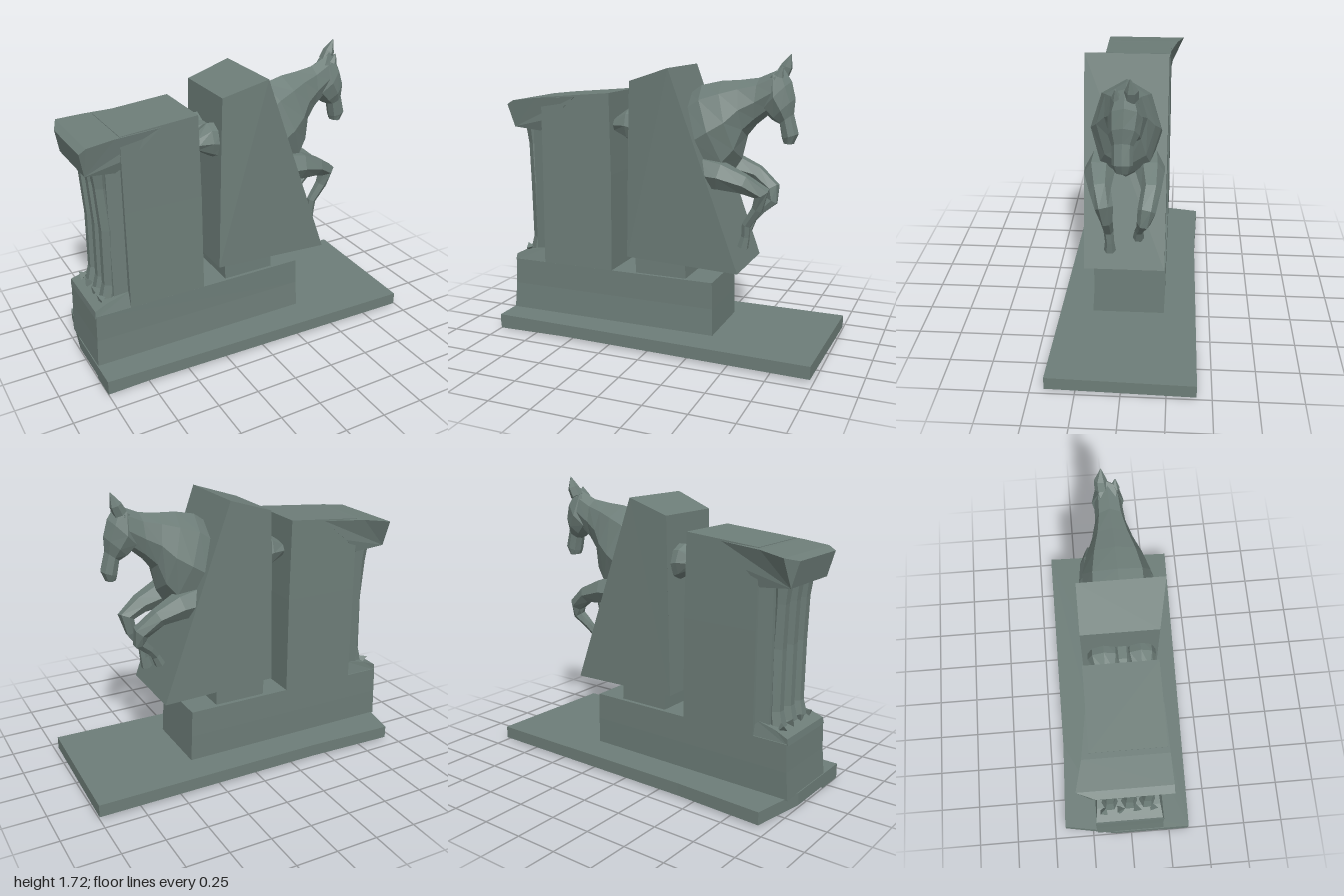
import * as THREE from 'three';

const stone = new THREE.MeshStandardMaterial({ color: 0x6d7d78, flatShading: true, side: THREE.DoubleSide });
stone.name = 'grey green stone';

// Skin a series of equal-length rings of [x, y, z]; caps are fans, winding is made outward.
function loft(rings, capStart = true, capEnd = true) {
  const tris = [];
  const n = rings[0].length;
  for (let r = 0; r < rings.length - 1; r++) {
    for (let i = 0; i < n; i++) {
      const j = (i + 1) % n;
      const [a, b, c, d] = [rings[r][i], rings[r][j], rings[r + 1][j], rings[r + 1][i]];
      tris.push([a, b, c], [a, c, d]);
    }
  }
  const first = rings[0], last = rings[rings.length - 1];
  for (let i = 1; i < n - 1; i++) {
    if (capStart) tris.push([first[0], first[i + 1], first[i]]);
    if (capEnd) tris.push([last[0], last[i], last[i + 1]]);
  }
  const centre = new THREE.Vector3();
  rings.flat().forEach(p => centre.add(new THREE.Vector3(...p)));
  centre.divideScalar(n * rings.length);
  let volume = 0;
  for (const t of tris) {
    const [a, b, c] = t.map(p => new THREE.Vector3(...p).sub(centre));
    volume += a.dot(b.cross(c));
  }
  if (volume < 0) tris.forEach(t => t.reverse());
  const g = new THREE.BufferGeometry();
  g.setAttribute('position', new THREE.Float32BufferAttribute(tris.flat(2), 3));
  g.computeVertexNormals();
  return g;
}

// Side profile of [x, y, back z, front z]
const prism = pts => loft([pts.map(p => [p[0], p[1], p[2]]), pts.map(p => [p[0], p[1], p[3]])]);

// Rings from [top x, top y, bottom x, bottom y, half width, centre z]
function bodyLoft(sections) {
  const sides = 8;
  return loft(sections.map(([tx, ty, bx, by, w, cz]) =>
    Array.from({ length: sides }, (_, i) => {
      const a = (i / sides) * Math.PI * 2;
      const t = (1 - Math.cos(a)) / 2;
      return [tx + (bx - tx) * t, ty + (by - ty) * t, cz + Math.sin(a) * w];
    })));
}

// Limb along [x, y, z, radius], six-sided
function limb(path) {
  const pts = path.map(p => new THREE.Vector3(p[0], p[1], p[2]));
  return loft(pts.map((p, k) => {
    const dir = pts[Math.min(k + 1, pts.length - 1)].clone().sub(pts[Math.max(k - 1, 0)]).normalize();
    const side = new THREE.Vector3(0, 0, 1).addScaledVector(dir, -dir.z).normalize();
    const up = dir.clone().cross(side);
    return Array.from({ length: 6 }, (_, i) => {
      const a = (i / 6) * Math.PI * 2, r = path[k][3];
      return p.clone().addScaledVector(side, Math.cos(a) * r).addScaledVector(up, Math.sin(a) * r).toArray();
    });
  }));
}

export function createModel() {
  const model = new THREE.Group();
  model.name = 'horseMonument';
  const add = (name, geometry, parent = model) => {
    const mesh = new THREE.Mesh(geometry, stone);
    mesh.name = name;
    parent.add(mesh);
    return mesh;
  };

  // Base slab with an opening under the hollow block
  const toPoints = list => list.map(([x, z]) => new THREE.Vector2(x, -z));
  const slab = new THREE.Shape(toPoints([[-1, 0.375], [0.98, 0.42], [1, -0.415], [-0.4, -0.41], [-0.94, -0.43], [-1, -0.1]]));
  slab.holes.push(new THREE.Path(toPoints([
    [-0.94, 0.16], [-0.9, -0.15], [-0.5, -0.17], [-0.1, -0.12], [0.3, -0.18], [0.33, 0.18], [-0.1, 0.15], [-0.5, 0.18]])));
  const base = new THREE.ExtrudeGeometry(slab, { depth: 0.075, bevelEnabled: false });
  base.rotateX(-Math.PI / 2);
  base.translate(0, 0.015, 0);
  add('baseSlab', base);
  // Small underside lip
  add('baseLip', prism([[-1, 0.0, 0.2, 0.37], [-0.4, 0.006, 0.24, 0.36], [-0.4, 0.02, 0.24, 0.36], [-1, 0.03, 0.2, 0.37]]));

  // Hollow plinth, open below
  const rect = (x0, x1, z0, z1, y0, y1 = y0) => [[x0, y0, z0], [x1, y1, z0], [x1, y1, z1], [x0, y0, z1]];
  add('plinth', loft([
    rect(-0.995, 0.35, -0.22, 0.21, 0.085),
    rect(-0.985, 0.345, -0.225, 0.2, 0.25),
    rect(-0.98, 0.34, -0.225, 0.2, 0.41),
  ], false, true));
  add('ledge', prism([[-0.985, 0.4, -0.22, 0.2], [-0.75, 0.4, -0.22, 0.2], [-0.76, 0.5, -0.2, 0.17], [-0.9, 0.47, -0.21, 0.18], [-0.98, 0.44, -0.22, 0.19]]));

  // Tall pillar with its overhanging cap
  add('pillar', loft([
    rect(-0.77, -0.305, -0.225, 0.2, 0.4),
    rect(-0.77, -0.305, -0.225, 0.19, 1.0),
    rect(-0.77, -0.315, -0.22, 0.185, 1.445, 1.485),
  ]));
  add('pillarCap', prism([
    [-0.97, 1.255, -0.23, 0.17], [-0.78, 1.235, -0.215, 0.16], [-0.7, 1.32, -0.225, 0.185], [-0.54, 1.455, -0.22, 0.19],
    [-0.8, 1.44, -0.26, 0.195], [-0.96, 1.42, -0.3, 0.2], [-1, 1.395, -0.2, 0.2]]));

  // Ribbed recess behind the pillar
  add('recessWall', prism([[-0.85, 0.44, -0.19, 0.15], [-0.75, 0.44, -0.21, 0.17], [-0.75, 1.26, -0.21, 0.17], [-0.85, 1.26, -0.19, 0.15]]));
  [-0.13, -0.01, 0.1].forEach((z, i) => {
    add('recessRib' + (i + 1), limb([
      [-0.87, 0.44, z, 0.055], [-0.855, 0.55, z, 0.042], [-0.85, 0.9, z + 0.01, 0.045], [-0.865, 1.15, z, 0.043], [-0.87, 1.27, z, 0.055]]));
  });
  // Rubble on the ledge
  for (let i = 0; i < 7; i++) {
    const rock = add('rubble' + (i + 1), new THREE.TetrahedronGeometry(0.035));
    rock.position.set(-0.92 + (i % 2) * 0.05, 0.475, -0.17 + i * 0.05);
    rock.rotation.set(i, i * 1.7, i * 0.6);
  }

  // Wedge block on its short neck
  add('wedgeNeck', loft([rect(-0.15, 0.17, -0.2, 0.18, 0.4), rect(-0.155, 0.165, -0.2, 0.18, 0.52)]));
  add('wedge', prism([
    [-0.2, 0.51, -0.215, 0.2], [0.505, 0.495, -0.22, 0.24], [0.085, 1.643, -0.22, 0.255],
    [-0.175, 1.56, -0.22, 0.2], [-0.185, 1.2, -0.22, 0.2]]));

  // Horse leaping out of the wedge
  const horse = new THREE.Group();
  horse.name = 'horse';
  model.add(horse);
  add('body', bodyLoft([
    [0.02, 1.38, 0.2, 0.98, 0.2, 0.01], [0.13, 1.485, 0.31, 0.99, 0.2, 0.01], [0.2, 1.535, 0.4, 1.04, 0.195, 0.01],
    [0.32, 1.562, 0.45, 1.12, 0.16, 0.005], [0.43, 1.57, 0.475, 1.25, 0.115, 0], [0.54, 1.585, 0.53, 1.32, 0.085, -0.005],
    [0.655, 1.635, 0.6, 1.38, 0.075, -0.01]]), horse);
  add('head', bodyLoft([
    [0.67, 1.65, 0.58, 1.56, 0.05, -0.01], [0.725, 1.57, 0.56, 1.4, 0.09, -0.01], [0.75, 1.475, 0.62, 1.35, 0.08, -0.005],
    [0.745, 1.39, 0.665, 1.33, 0.055, 0], [0.775, 1.28, 0.68, 1.25, 0.055, 0], [0.75, 1.222, 0.69, 1.225, 0.04, 0]]), horse);
  add('ear', limb([[0.66, 1.6, -0.04, 0.04], [0.685, 1.65, -0.045, 0.035], [0.71, 1.717, -0.04, 0.002]]), horse);
  add('leftEarStub', limb([[0.66, 1.6, 0.03, 0.03], [0.68, 1.65, 0.035, 0.004]]), horse);
  add('foreLegFront', limb([
    [0.24, 1.05, 0.14, 0.1], [0.37, 1.04, 0.155, 0.085], [0.5, 1.0, 0.14, 0.06], [0.6, 0.945, 0.11, 0.05],
    [0.575, 0.85, 0.1, 0.035], [0.51, 0.75, 0.095, 0.028], [0.505, 0.68, 0.09, 0.026], [0.49, 0.615, 0.09, 0.034]]), horse);
  add('foreLegBack', limb([
    [0.24, 1.06, -0.11, 0.1], [0.37, 1.05, -0.13, 0.08], [0.5, 1.01, -0.14, 0.055], [0.6, 0.93, -0.12, 0.05],
    [0.605, 0.86, -0.105, 0.038], [0.54, 0.8, -0.09, 0.028], [0.5, 0.75, -0.075, 0.025], [0.47, 0.69, -0.07, 0.032]]), horse);

  // Haunches showing behind the wedge
  [[-0.1, 0.09], [0.1, 0.085]].forEach(([z, w], i) => {
    add('haunch' + (i + 1), bodyLoft([
      [-0.15, 1.39, -0.15, 1.17, w, z], [-0.22, 1.395, -0.215, 1.2, w, z], [-0.3, 1.34, -0.3, 1.25, w * 0.75, z]]), horse);
  });
  add('tail', limb([[-0.16, 1.32, 0, 0.05], [-0.24, 1.32, 0, 0.045], [-0.31, 1.28, 0, 0.02]]), horse);

  return model;
}
